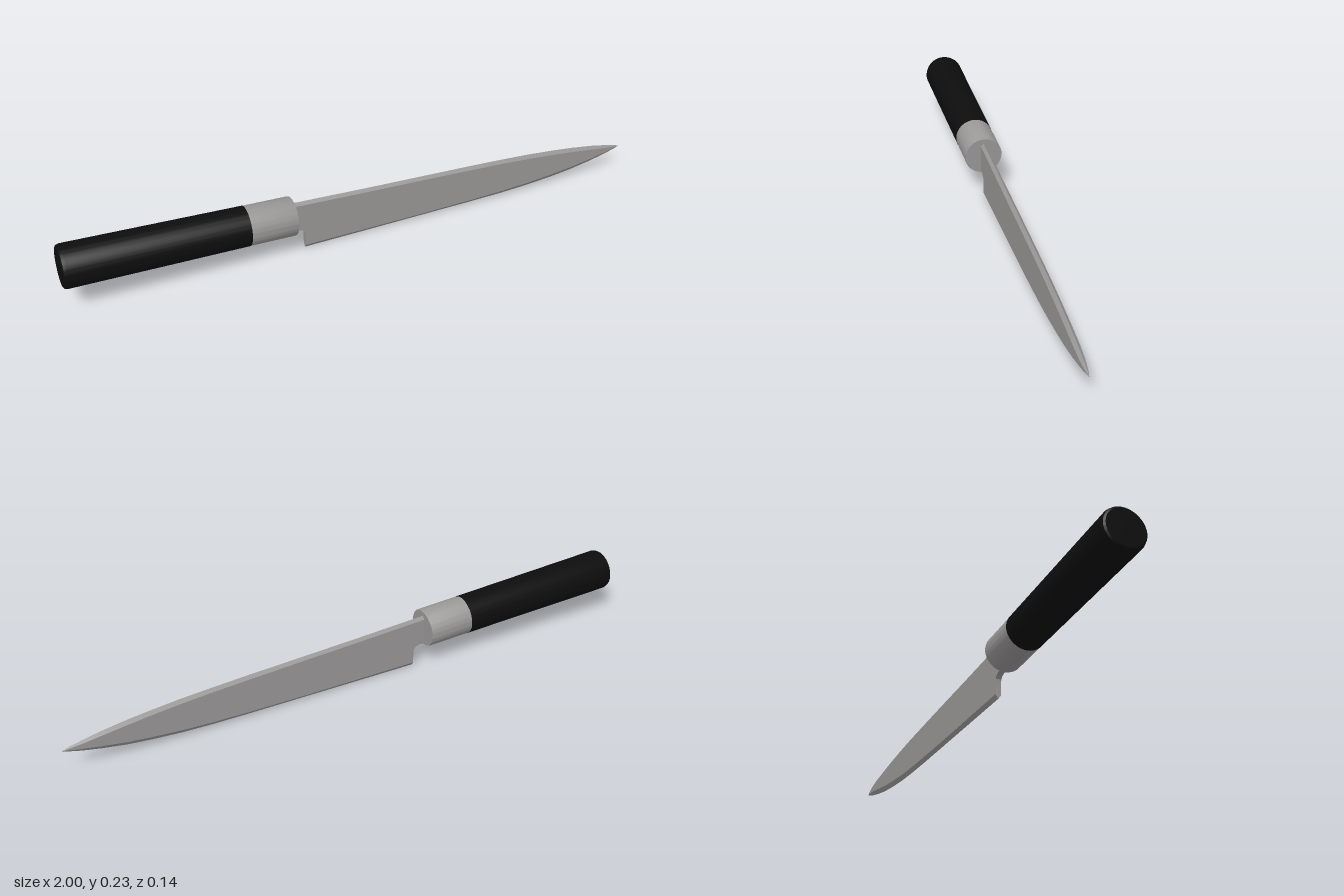
import * as THREE from 'three';
import { toCreasedNormals } from 'three/addons/utils/BufferGeometryUtils.js';

const blackHandle = new THREE.MeshStandardMaterial({ name: 'blackHandle', color: 0x0d0d0d });
const steel = new THREE.MeshStandardMaterial({ name: 'steel', color: 0x9a9797 });

// Turned part: profile of [radius, distance along the grip]
function turned(name, profile, material) {
  const points = profile.map(([r, d]) => new THREE.Vector2(r, d));
  const mesh = new THREE.Mesh(toCreasedNormals(new THREE.LatheGeometry(points, 64), 0.5), material);
  mesh.name = name;
  return mesh;
}

// Six-sided sections joined along x: [x, spine, upper shoulder, lower shoulder, edge, half thickness]
function bladeGeometry() {
  const rows = [
    [-0.265, 0.187, 0.177, 0.083, 0.083, 0.01],
    [-0.235, 0.185, 0.175, 0.082, 0.082, 0.01],
    [-0.222, 0.184, 0.174, 0.077, 0.077, 0.01],
    [-0.214, 0.184, 0.174, 0.069, 0.069, 0.01],
    [-0.212, 0.184, 0.174, 0.058, 0.058, 0.01], // top of the heel
    [-0.212, 0.184, 0.174, 0.016, 0.002, 0.01], // foot of the heel
    [0, 0.174, 0.164, 0.018, 0.005, 0.01],
    [0.2, 0.166, 0.156, 0.02, 0.008, 0.01],
    [0.4, 0.158, 0.147, 0.024, 0.011, 0.01],
    [0.52, 0.152, 0.141, 0.028, 0.014, 0.01],
    [0.62, 0.146, 0.134, 0.034, 0.019, 0.01],
    [0.72, 0.137, 0.125, 0.044, 0.028, 0.01],
    [0.8, 0.128, 0.116, 0.054, 0.038, 0.01],
    [0.88, 0.116, 0.106, 0.068, 0.053, 0.01],
    [0.94, 0.104, 0.097, 0.079, 0.067, 0.008],
    [0.98, 0.094, 0.091, 0.085, 0.079, 0.004],
    [1, 0.087, 0.087, 0.087, 0.087, 0],
  ];
  const position = [], index = [];
  rows.forEach(([x, top, upper, lower, edge, w], i) => {
    position.push(x, top, 0, x, upper, w, x, lower, w, x, edge, 0, x, lower, -w, x, upper, -w);
    if (i === rows.length - 1) return;
    for (let j = 0; j < 6; j++) {
      const a = i * 6 + j, b = i * 6 + (j + 1) % 6;
      index.push(a, b, b + 6, a, b + 6, a + 6);
    }
  });
  const geometry = new THREE.BufferGeometry();
  geometry.setAttribute('position', new THREE.Float32BufferAttribute(position, 3));
  geometry.setIndex(index);
  return toCreasedNormals(geometry, 0.3);
}

export function createModel() {
  const model = new THREE.Group();
  model.name = 'kitchenKnife';

  // Grip, tilted slightly down towards the blade
  const grip = new THREE.Group();
  grip.name = 'grip';
  grip.position.set(-0.998, 0.164, 0);
  grip.rotation.z = -Math.PI / 2 - 0.035;
  grip.add(
    turned('handle', [[0, 0], [0.061, 0], [0.067, 0.004], [0.07, 0.014], [0.0655, 0.59], [0, 0.59]], blackHandle),
    turned('ferrule', [[0, 0.585], [0.065, 0.59], [0.0645, 0.742], [0.063, 0.746], [0, 0.746]], steel),
  );

  const blade = new THREE.Mesh(bladeGeometry(), steel);
  blade.name = 'blade';
  model.add(grip, blade);
  return model;
}
